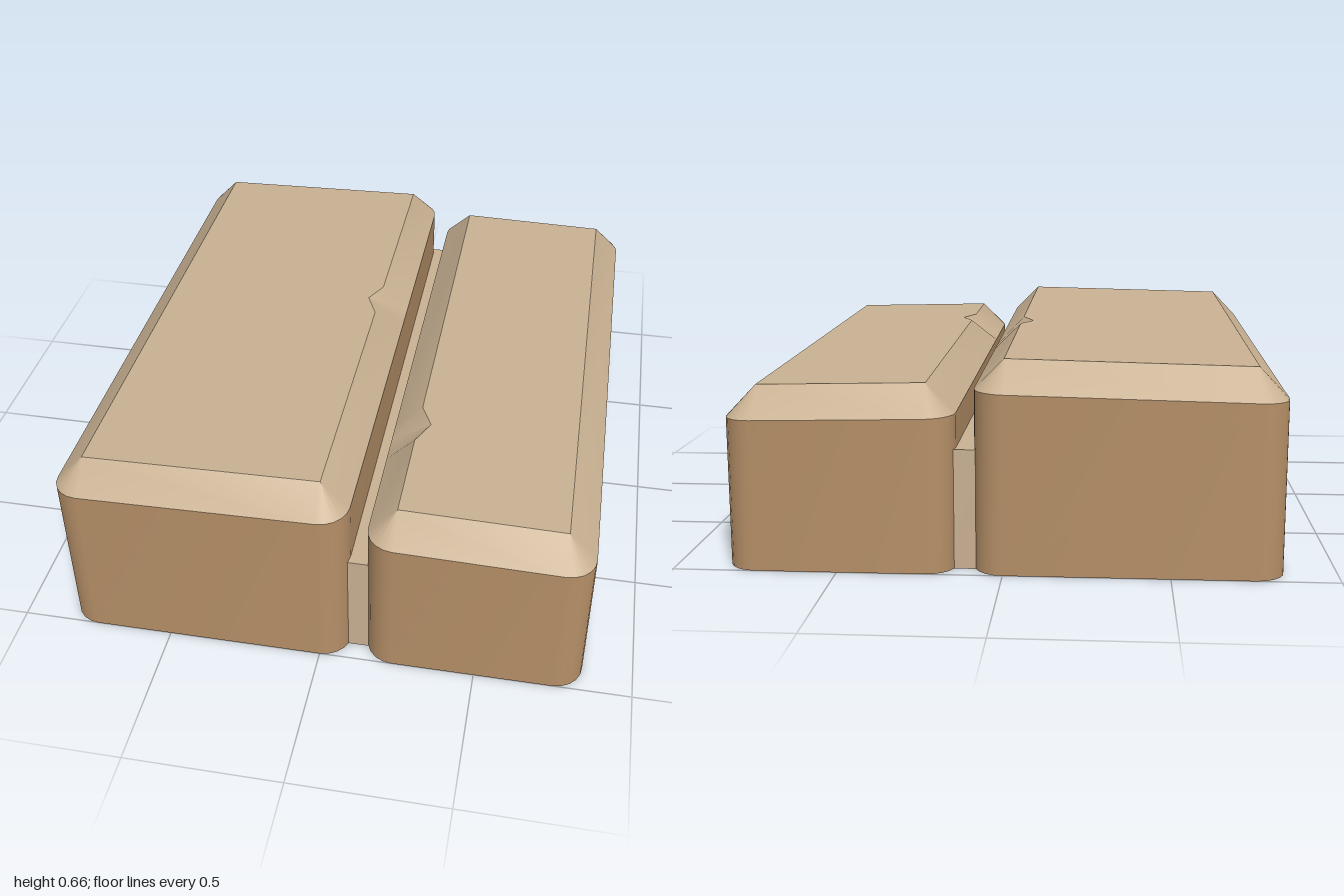
import * as THREE from 'three';
import { toCreasedNormals } from 'three/addons/utils/BufferGeometryUtils.js';

const BEVEL = 0.09;
const material = (name, color) => new THREE.MeshStandardMaterial({ name, color });

// Footprint points, anticlockwise from above; each has a rim and an inset top position.
function footprint(x0, x1, chip) {
  const points = [];
  const zi = 1 - BEVEL, l = x0 + BEVEL, r = x1 - BEVEL;
  const corners = [[r, -zi], [l, -zi], [l, zi], [r, zi]];
  const steps = 5;
  const addChip = () => {
    const s = chip.side;
    const notch = [[chip.from, 0], [chip.apex, 0.04], [chip.to, 0]];
    if (s > 0) notch.reverse();
    for (const [z, dent] of notch) {
      points.push({ rim: [s > 0 ? x1 : x0, z], top: [(s > 0 ? r : l) - s * dent, z] });
    }
  };
  corners.forEach(([cx, cz], c) => {
    for (let i = 0; i <= steps; i++) {
      const a = (c + i / steps) * Math.PI / 2;
      points.push({ rim: [cx + BEVEL * Math.cos(a), cz - BEVEL * Math.sin(a)], top: [cx, cz] });
    }
    if ((c === 1 && chip.side < 0) || (c === 3 && chip.side > 0)) addChip();
  });
  return points;
}

function surface(triangles) {
  const g = new THREE.BufferGeometry();
  g.setAttribute('position', new THREE.Float32BufferAttribute(triangles.flat(2), 3));
  return toCreasedNormals(g, 0.45);
}

// Flat polygon over a list of 3D points, facing up or down
function flatFace(points, up) {
  const contour = points.map(([x, , z]) => new THREE.Vector2(x, -z));
  return THREE.ShapeUtils.triangulateShape(contour, []).map(([a, b, c]) =>
    up ? [points[a], points[b], points[c]] : [points[a], points[c], points[b]]);
}

// Stone block with rounded corners, a sloping bevelled top and one chipped edge
function block(name, x0, x1, rimY, chip, wallMat, capMat) {
  const pts = footprint(x0, x1, chip);
  const base = pts.map(({ rim: [x, z] }) => [x, 0, z]);
  const rim = pts.map(({ rim: [x, z] }) => [x, rimY(x, z), z]);
  const top = pts.map(({ top: [x, z] }) => [x, rimY(x, z) + 0.092, z]);
  const same = (a, b) => Math.hypot(a[0] - b[0], a[2] - b[2]) < 1e-5;
  const walls = [], bevel = [];
  pts.forEach((_, i) => {
    const j = (i + 1) % pts.length;
    walls.push([base[i], base[j], rim[j]], [base[i], rim[j], rim[i]]);
    bevel.push([rim[i], rim[j], top[i]]);
    if (!same(top[i], top[j])) bevel.push([rim[j], top[j], top[i]]);
  });
  const outline = top.filter((p, i) => !same(p, top[(i + 1) % top.length]));

  const group = new THREE.Group();
  group.name = name;
  const add = (part, tris, mat) => {
    const mesh = new THREE.Mesh(surface(tris), mat);
    mesh.name = part;
    group.add(mesh);
  };
  add('walls', walls, wallMat);
  add('bevel', bevel, capMat);
  add('topFace', flatFace(outline, true), capMat);
  add('underside', flatFace(base, false), capMat);
  return group;
}

export function createModel() {
  const model = new THREE.Group();
  model.name = 'stoneBlocks';
  const wallMat = material('brown stone', 0xb58f67);
  const capMat = material('pale stone', 0xc9b192);

  // Taller, wider block on the right, lower block on the left
  model.add(block('wideBlock', -0.84, 0.09,
    (x, z) => 0.575 + 0.0215 * (x - 0.09) + 0.0125 * (z - 1),
    { side: 1, from: -0.19, apex: -0.11, to: -0.02 }, wallMat, capMat));
  model.add(block('narrowBlock', 0.145, 0.84,
    (x, z) => 0.485 - 0.0216 * (x - 0.84) + 0.0125 * (z - 1),
    { side: -1, from: 0.4, apex: 0.485, to: 0.575 }, wallMat, capMat));

  // Mortar filling the joint between the blocks
  const mortar = new THREE.Mesh(new THREE.BoxGeometry(0.09, 0.37, 1.88), capMat);
  mortar.name = 'mortar';
  mortar.position.set(0.1175, 0.185, 0);
  model.add(mortar);
  return model;
}
